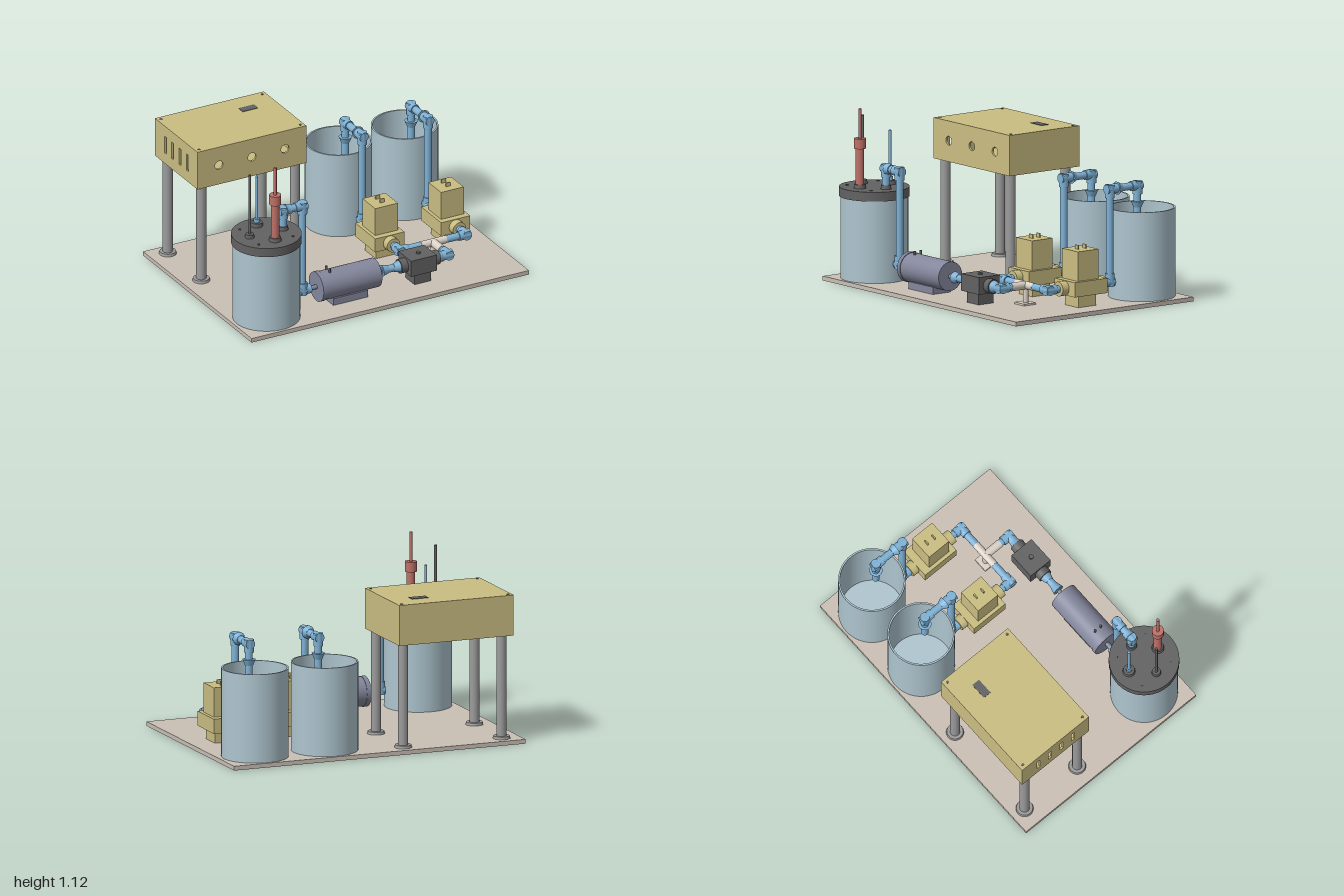
import * as THREE from 'three';

const mat = (name, color, side = THREE.FrontSide) => {
  const m = new THREE.MeshStandardMaterial({ color, side });
  m.name = name;
  return m;
};

export function createModel() {
  const root = new THREE.Group();
  root.name = 'processPlant';
  const stone = mat('warmGrey', 0xcac0b5);
  const glass = mat('paleBlue', 0xaec5cf, THREE.DoubleSide);
  const blue = mat('pipeBlue', 0x7fb2d6);
  const yellow = mat('mutedYellow', 0xcabd82);
  const dark = mat('darkGrey', 0x626262);
  const steel = mat('steelGrey', 0x9c9c9c);
  const slate = mat('slateBlue', 0x84879c);
  const red = mat('dustyRed', 0xbd7168);
  const cream = mat('cream', 0xdcd2c8);

  const add = (name, geo, material, parent = root) => {
    const m = new THREE.Mesh(geo, material);
    m.name = name;
    parent.add(m);
    return m;
  };
  const group = (name) => {
    const g = new THREE.Group();
    g.name = name;
    root.add(g);
    return g;
  };
  // Box given by its limits on each axis
  const block = (name, x0, x1, y0, y1, z0, z1, m, parent) => {
    const b = add(name, new THREE.BoxGeometry(x1 - x0, y1 - y0, z1 - z0), m, parent);
    b.position.set((x0 + x1) / 2, (y0 + y1) / 2, (z0 + z1) / 2);
    return b;
  };
  // Cylinder or cone between two points
  const rod = (name, from, to, r, m, parent, rEnd = r, seg = 24) => {
    const a = new THREE.Vector3(...from), b = new THREE.Vector3(...to);
    const d = b.clone().sub(a);
    const c = add(name, new THREE.CylinderGeometry(rEnd, r, d.length(), seg), m, parent);
    c.position.copy(a).add(b).multiplyScalar(0.5);
    c.quaternion.setFromUnitVectors(new THREE.Vector3(0, 1, 0), d.normalize());
    return c;
  };
  const PIPE = 0.024, FIT = 0.031;
  // Pipe run through points, with a square-cornered fitting at each bend
  const run = (name, pts, parent) => {
    for (let i = 0; i < pts.length - 1; i++) rod(name, pts[i], pts[i + 1], PIPE, blue, parent);
    for (let i = 1; i < pts.length - 1; i++) {
      const c = new THREE.Vector3(...pts[i]);
      for (const n of [pts[i - 1], pts[i + 1]]) {
        const d = new THREE.Vector3(...n).sub(c).normalize();
        rod('elbow', c.clone().addScaledVector(d, -FIT * 0.9).toArray(),
          c.clone().addScaledVector(d, 0.055).toArray(), FIT, blue, parent);
      }
    }
  };

  // Base plate
  block('basePlate', -1, 1, 0, 0.028, -0.707, 0.707, stone);

  // Reactor with lid, fittings and probes
  const rx = -0.765, rz = 0.475;
  const reactor = group('reactor');
  rod('reactorVessel', [rx, 0.028, rz], [rx, 0.56, rz], 0.214, glass, reactor, 0.214, 64);
  rod('reactorLid', [rx, 0.555, rz], [rx, 0.615, rz], 0.223, dark, reactor, 0.223, 64);
  const collars = [[rx, 0.59, 0.04], [-0.885, rz, 0.03], [rx, 0.35, 0.04], [-0.645, rz, 0.034]];
  for (const [x, z, r] of collars) rod('lidCollar', [x, 0.615, z], [x, 0.64, z], r, dark, reactor, r * 0.9);
  for (let i = 0; i < 4; i++) {
    const a = Math.PI / 4 + i * Math.PI / 2;
    const x = rx + 0.175 * Math.cos(a), z = rz + 0.175 * Math.sin(a);
    rod('lidBolt', [x, 0.61, z], [x, 0.62, z], 0.009, dark, reactor, 0.009, 12);
  }
  rod('heaterTube', [rx, 0.63, 0.59], [rx, 0.87, 0.59], 0.027, red, reactor);
  rod('heaterCap', [rx, 0.87, 0.59], [rx, 0.935, 0.59], 0.038, red, reactor);
  rod('heaterRod', [rx, 0.935, 0.59], [rx, 1.125, 0.59], 0.01, red, reactor);
  rod('darkProbe', [-0.885, 0.63, rz], [-0.885, 1.053, rz], 0.009, dark, reactor);
  rod('blueProbe', [rx, 0.63, 0.35], [rx, 0.96, 0.35], 0.009, blue, reactor);
  rod('probeNut', [rx, 0.64, 0.35], [rx, 0.665, 0.35], 0.02, blue, reactor, 0.02, 6);

  // Pipe from the reactor down to the motor
  const feed = group('feedPipe');
  run('feedPipe', [[-0.645, 0.62, rz], [-0.645, 0.745, rz], [-0.505, 0.745, rz],
    [-0.505, 0.15, rz], [-0.46, 0.15, rz]], feed);
  rod('feedCone', [-0.63, 0.745, rz], [-0.585, 0.745, rz], 0.038, blue, feed, 0.024);
  rod('motorCone', [-0.49, 0.15, rz], [-0.44, 0.15, rz], 0.036, blue, feed, 0.018);

  // Motor
  const motor = group('motor');
  rod('motorBody', [-0.405, 0.15, rz], [0.02, 0.15, rz], 0.094, slate, motor, 0.094, 48);
  rod('motorCap', [-0.405, 0.15, rz], [-0.375, 0.15, rz], 0.098, slate, motor, 0.098, 48);
  block('motorFoot', -0.32, -0.07, 0.028, 0.075, 0.405, 0.545, slate, motor);
  rod('motorShaft', [-0.455, 0.15, rz], [0.08, 0.15, rz], 0.015, slate, motor);
  for (const z of [0.45, 0.495]) rod('motorStud', [-0.32, 0.23, z], [-0.32, 0.265, z], 0.008, dark, motor, 0.008, 12);

  // Pump with the pipe joining it to the motor
  const pump = group('pump');
  rod('inletPipe', [0.06, 0.15, rz], [0.2, 0.15, rz], PIPE, blue, pump);
  rod('inletCone', [0.065, 0.15, rz], [0.11, 0.15, rz], 0.038, blue, pump, 0.026);
  rod('inletFlare', [0.15, 0.15, rz], [0.19, 0.15, rz], 0.026, blue, pump, 0.038);
  rod('pumpBarrel', [0.19, 0.15, rz], [0.47, 0.15, rz], 0.047, dark, pump);
  block('pumpBody', 0.235, 0.42, 0.1, 0.21, 0.39, 0.555, dark, pump);
  block('pumpFoot', 0.27, 0.39, 0.028, 0.1, 0.415, 0.535, dark, pump);
  rod('pumpKnob', [0.33, 0.21, rz], [0.33, 0.22, rz], 0.015, dark, pump);

  // Manifold: outlet pipe, tee and support post
  const manifold = group('manifold');
  const mz = 0.28;
  run('outletPipe', [[0.47, 0.15, rz], [0.545, 0.15, rz], [0.545, 0.15, 0.35]], manifold);
  rod('outletCone', [0.47, 0.15, rz], [0.51, 0.15, rz], 0.04, blue, manifold, 0.026);
  rod('teeCross', [0.455, 0.15, mz], [0.635, 0.15, mz], 0.025, cream, manifold);
  rod('teeBranch', [0.545, 0.15, mz], [0.545, 0.15, 0.4], 0.027, cream, manifold);
  rod('teePost', [0.545, 0.028, mz], [0.545, 0.15, mz], 0.018, cream, manifold);
  block('teeFoot', 0.495, 0.595, 0.028, 0.04, 0.235, 0.33, cream, manifold);

  // Two valve lines, each with its collecting tank
  for (const [x, tankX, teeX] of [[0.305, 0.283, 0.46], [0.78, 0.76, 0.63]]) {
    const valve = group('valve');
    block('valveFoot', x - 0.07, x + 0.07, 0.028, 0.105, -0.045, 0.095, yellow, valve);
    block('valveBody', x - 0.105, x + 0.105, 0.105, 0.2, -0.11, 0.15, yellow, valve);
    block('valveTower', x - 0.082, x + 0.082, 0.2, 0.39, -0.057, 0.108, yellow, valve);
    rod('valvePort', [x, 0.15, -0.155], [x, 0.15, 0.2], 0.047, yellow, valve);
    for (const z of [-0.008, 0.05]) block('valveTab', x - 0.016, x + 0.016, 0.39, 0.416, z - 0.004, z + 0.004, yellow, valve);

    const line = group('valveLine');
    run('inletLine', [[teeX, 0.15, mz], [x, 0.15, mz], [x, 0.15, 0.19]], line);
    run('tankLine', [[x, 0.15, -0.15], [x, 0.15, -0.21], [x, 0.745, -0.21],
      [x, 0.745, -0.43], [x, 0.5, -0.43]], line);
    rod('tankLineCone', [x, 0.745, -0.265], [x, 0.745, -0.3], 0.042, blue, line, 0.026);
    rod('tankDropCone', [x, 0.605, -0.43], [x, 0.645, -0.43], 0.026, blue, line, 0.042);

    const tank = group('collectingTank');
    tank.position.set(tankX, 0, -0.48);
    for (const r of [0.213, 0.202]) {
      add('tankWall', new THREE.CylinderGeometry(r, r, 0.572, 64, 1, true), glass, tank).position.y = 0.314;
    }
    const rim = add('tankRim', new THREE.RingGeometry(0.202, 0.213, 64), glass, tank);
    rim.rotation.x = -Math.PI / 2;
    rim.position.y = 0.6;
    const floor = add('tankFloor', new THREE.CircleGeometry(0.21, 64), glass, tank);
    floor.rotation.x = -Math.PI / 2;
    floor.position.y = 0.04;
  }

  // Control box: hollow shell with round ports in front and vent slots on one side
  const box = group('controlBox');
  const X0 = -0.93, X1 = -0.145, Y0 = 0.7, Y1 = 0.962, Z0 = -0.68, Z1 = -0.125, T = 0.014;
  const panel = (w, h) => new THREE.Shape([[0, 0], [w, 0], [w, h], [0, h]].map(p => new THREE.Vector2(...p)));
  const sheet = { depth: T, bevelEnabled: false, curveSegments: 16 };
  block('boxTop', X0, X1, Y1 - T, Y1, Z0, Z1, yellow, box);
  block('boxBottom', X0, X1, Y0, Y0 + T, Z0, Z1, yellow, box);
  block('boxBack', X0, X1, Y0 + T, Y1 - T, Z0, Z0 + T, yellow, box);
  block('boxSide', X1 - T, X1, Y0 + T, Y1 - T, Z0 + T, Z1 - T, yellow, box);
  const front = panel(X1 - X0, Y1 - Y0 - 2 * T);
  for (const x of [-0.775, -0.537, -0.298]) {
    front.holes.push(new THREE.Path().absarc(x - X0, 0.835 - Y0 - T, 0.029, 0, Math.PI * 2, true));
  }
  add('boxFront', new THREE.ExtrudeGeometry(front, sheet), yellow, box).position.set(X0, Y0 + T, Z1 - T);
  const vents = panel(Z1 - Z0 - 2 * T, Y1 - Y0 - 2 * T);
  for (let i = 0; i < 4; i++) {
    const u = 0.11 + i * 0.095, w = 0.026;
    vents.holes.push(new THREE.Path([[u, 0.06], [u, 0.175], [u + w, 0.175], [u + w, 0.06]].map(p => new THREE.Vector2(...p))));
  }
  const side = add('boxVentSide', new THREE.ExtrudeGeometry(vents, sheet), yellow, box);
  side.rotation.y = -Math.PI / 2;
  side.position.set(X0 + T, Y0 + T, Z0 + T);
  block('display', -0.402, -0.29, Y1 - 0.002, Y1 + 0.003, -0.545, -0.49, dark, box);
  for (const x of [X0 + 0.027, X1 - 0.027]) for (const z of [Z0 + 0.03, Z1 - 0.03]) {
    rod('boxScrew', [x, Y1 - 0.002, z], [x, Y1 + 0.003, z], 0.009, dark, box, 0.009, 12);
  }

  // Legs with round feet
  for (const x of [-0.875, -0.2]) for (const z of [-0.612, -0.175]) {
    rod('boxLeg', [x, 0.028, z], [x, Y0, z], 0.032, steel, box);
    rod('boxLegFoot', [x, 0.028, z], [x, 0.045, z], 0.056, steel, box, 0.052, 32);
  }
  return root;
}
